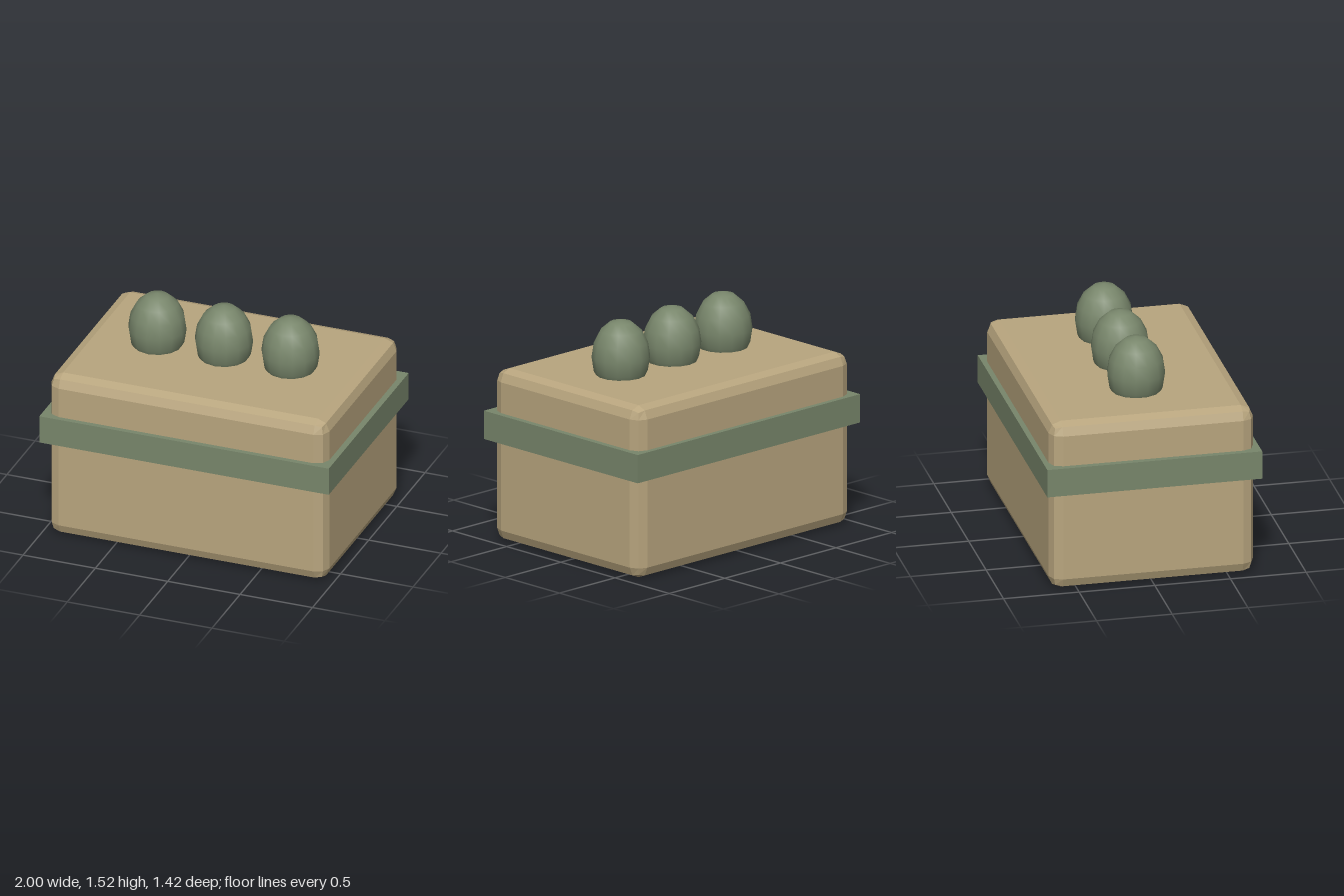
import * as THREE from 'three';
import { RoundedBoxGeometry } from 'three/addons/geometries/RoundedBoxGeometry.js';

const tan = new THREE.MeshStandardMaterial({ color: 0xb8a57e, flatShading: true });
const green = new THREE.MeshStandardMaterial({ color: 0x78866b });

function addPart(group, name, geometry, material, x, y, z) {
  const mesh = new THREE.Mesh(geometry, material);
  mesh.name = name;
  mesh.position.set(x, y, z);
  group.add(mesh);
  return mesh;
}

export function createModel() {
  const group = new THREE.Group();
  group.name = 'boxWithKnobs';

  // Main block with two-step bevelled edges
  addPart(group, 'body', new RoundedBoxGeometry(1.92, 1.154, 1.35, 1, 0.08), tan, 0, 0.577, 0);

  // Square-edged band around the upper half
  addPart(group, 'band', new THREE.BoxGeometry(2, 0.19, 1.42), green, 0, 0.773, 0);

  // Row of three egg-shaped knobs sunk into the top
  const egg = new THREE.SphereGeometry(0.19, 14, 8);
  egg.rotateY(Math.PI / 2);
  egg.scale(1, 1.3, 1);
  ['rightKnob', 'middleKnob', 'leftKnob'].forEach((name, i) => {
    addPart(group, name, egg, green, (i - 1) * 0.46, 1.273, 0);
  });

  return group;
}
